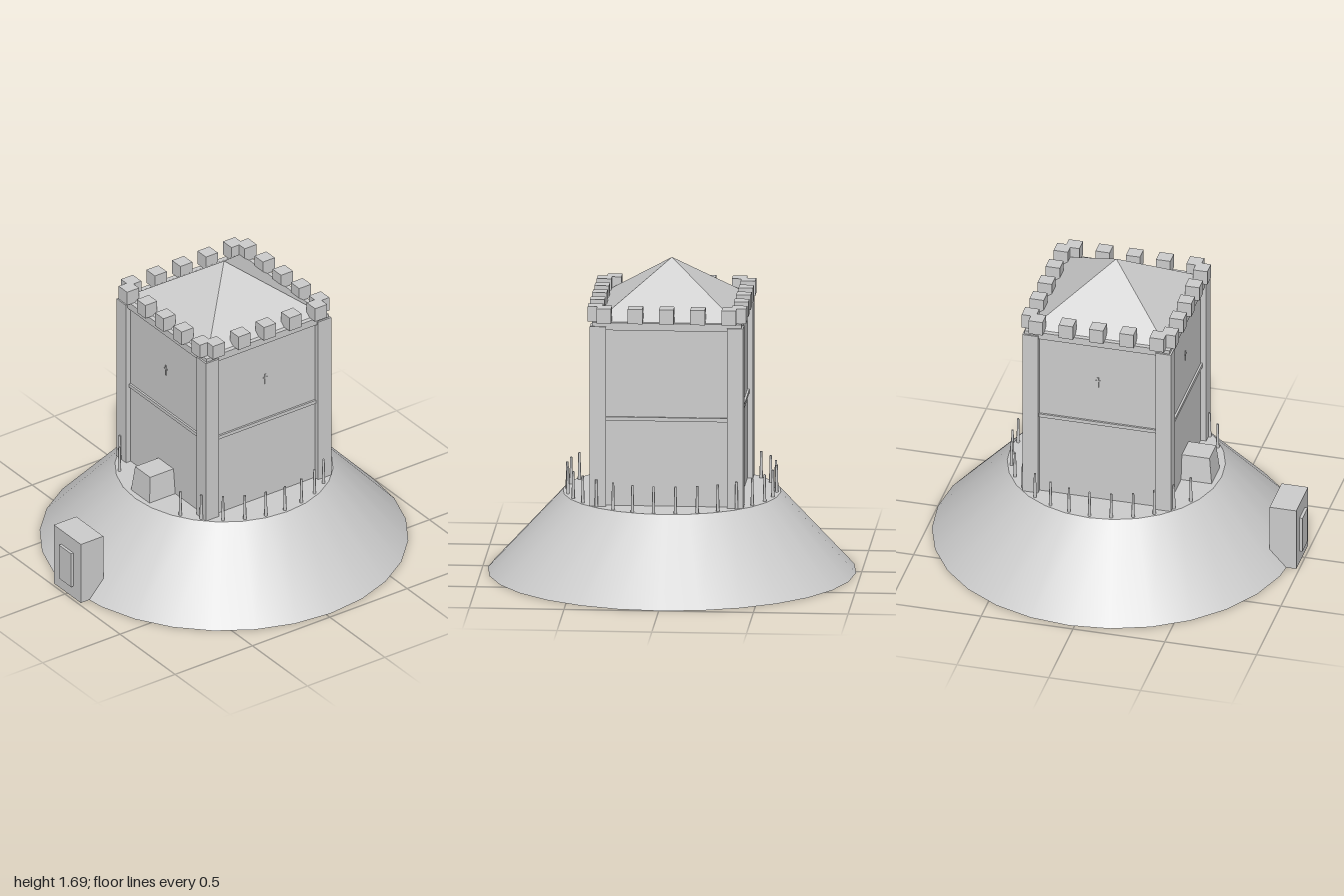
import * as THREE from 'three';

export function createModel() {
  const model = new THREE.Group();
  const stone = new THREE.MeshStandardMaterial({ color: 0xcccccc });
  stone.name = 'stone grey';

  const add = (parent, name, geometry, x, y, z) => {
    const mesh = new THREE.Mesh(geometry, stone);
    mesh.name = name;
    mesh.position.set(x, y, z);
    parent.add(mesh);
    return mesh;
  };
  // Box placed by its centre in x and z and by its bottom and top in y
  const box = (parent, name, w, d, y0, y1, x = 0, z = 0) =>
    add(parent, name, new THREE.BoxGeometry(w, y1 - y0, d), x, (y0 + y1) / 2, z);

  // Everything but the gatehouse shares the axis of the mound
  const keep = new THREE.Group();
  keep.name = 'keep';
  keep.position.z = -0.028;
  model.add(keep);

  // Mound
  const ground = 0.43;
  add(keep, 'mound', new THREE.CylinderGeometry(0.575, 0.972, ground, 28), 0, ground / 2, 0);

  // Tower body, cornice and corner posts
  box(keep, 'towerWalls', 0.75, 0.75, ground, 1.39);
  box(keep, 'cornice', 0.79, 0.79, 1.38, 1.42);
  box(keep, 'beltCourse', 0.772, 0.772, 0.89, 0.91);
  for (const sx of [-1, 1])
    for (const sz of [-1, 1])
      box(keep, 'cornerPost', 0.085, 0.085, ground, 1.4, sx * 0.3625, sz * 0.3625);

  // Each side carries five merlons and a cross-shaped arrow slit
  for (let i = 0; i < 4; i++) {
    const side = new THREE.Group();
    side.name = 'towerSide';
    side.rotation.y = i * Math.PI / 2;
    keep.add(side);
    for (let k = -2; k <= 2; k++)
      box(side, 'merlon', 0.077, 0.077, 1.42, 1.5, k * 0.165, 0.38);
    box(side, 'arrowSlit', 0.008, 0.006, 1.12, 1.18, 0, 0.376);
    box(side, 'arrowSlitBar', 0.028, 0.006, 1.156, 1.163, 0, 0.376);
  }

  // Pyramid roof
  const roof = new THREE.ConeGeometry(0.37 * Math.SQRT2, 0.27, 4, 1).toNonIndexed();
  roof.computeVertexNormals();
  add(keep, 'roof', roof, 0, 1.555, 0).rotation.y = Math.PI / 4;

  // Palisade stakes around the rim, open at the front
  const stake = new THREE.CylinderGeometry(0.006, 0.009, 0.145, 8);
  for (let i = 0; i < 13; i++) {
    const a = THREE.MathUtils.degToRad(6 + 12 * i);
    for (const s of [-1, 1])
      add(keep, 'stake', stake, s * 0.553 * Math.sin(a), ground + 0.0725, -0.553 * Math.cos(a));
  }

  // Entrance block with sides that lean inwards
  const porch = new THREE.BoxGeometry(0.168, 0.145, 0.17);
  const p = porch.attributes.position;
  for (let i = 0; i < p.count; i++) {
    if (p.getY(i) > 0) {
      p.setX(i, p.getX(i) * 0.81);
      if (p.getZ(i) > 0) p.setZ(i, p.getZ(i) - 0.015);
    }
  }
  porch.computeVertexNormals();
  add(model, 'porch', porch, 0, ground + 0.0725, 0.428);

  // Gatehouse at the foot of the mound, with a door through it
  box(model, 'gatehouse', 0.245, 0.145, 0, 0.36, 0, 0.912);
  box(model, 'door', 0.11, 0.175, 0.07, 0.275, 0, 0.9125);

  return model;
}
